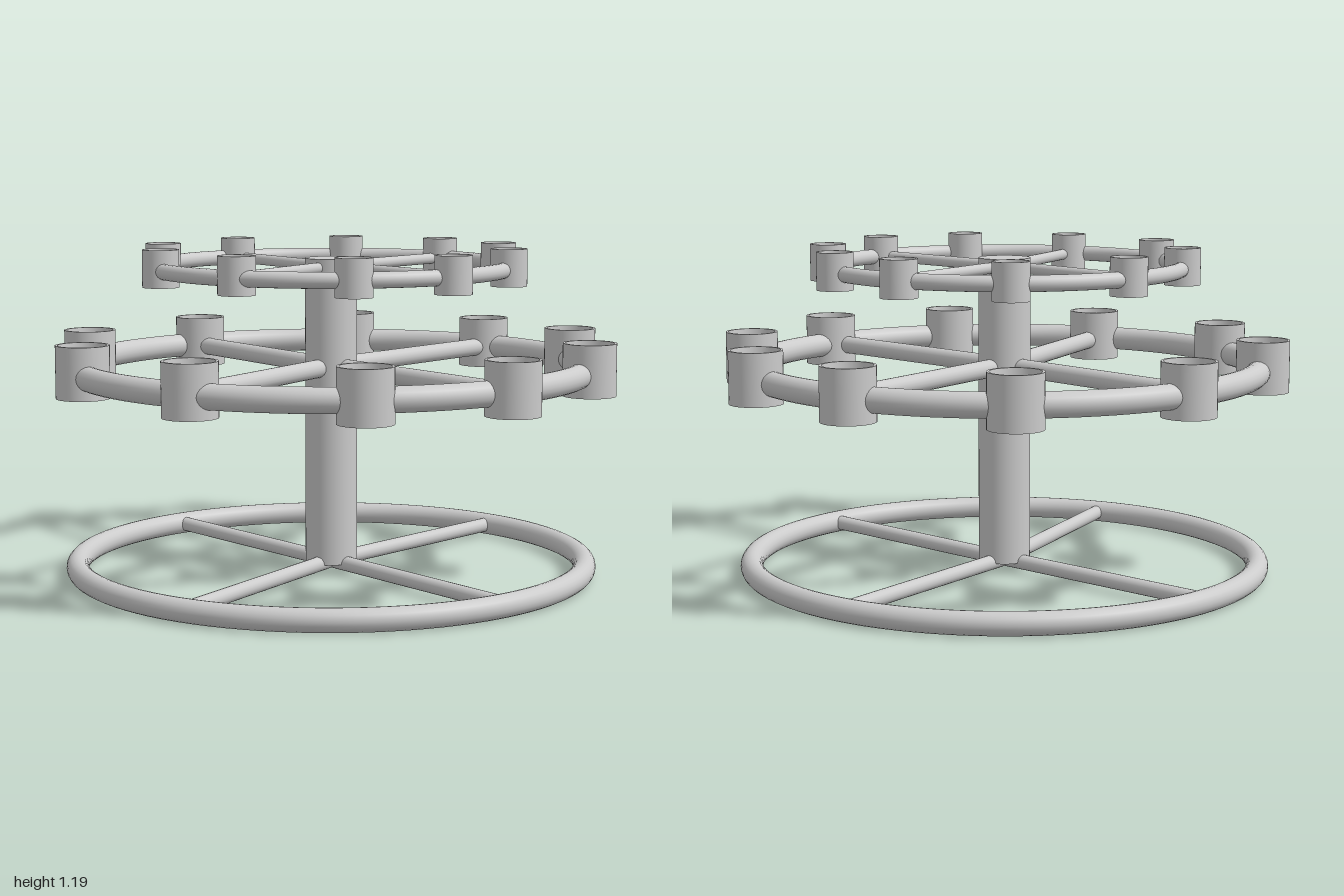
import * as THREE from 'three';

const CX = -0.024, CZ = 0.024; // pole axis
const material = new THREE.MeshStandardMaterial({ color: 0xcccccc });

function add(parent, name, geometry, x, y, z) {
  const mesh = new THREE.Mesh(geometry, material);
  mesh.name = name;
  mesh.position.set(x, y, z);
  parent.add(mesh);
  return mesh;
}

// horizontal ring around the pole
function addRing(parent, name, radius, tube, y) {
  const geometry = new THREE.TorusGeometry(radius, tube, 20, 96).rotateX(Math.PI / 2);
  add(parent, name, geometry, CX, y, CZ);
}

// round bars from the pole outwards; angles in degrees from +x towards +z
function addSpokes(parent, name, angles, length, radius, y) {
  for (const angle of angles) {
    const geometry = new THREE.CylinderGeometry(radius, radius, length, 20)
      .rotateZ(Math.PI / 2).translate(length / 2, 0, 0);
    add(parent, name, geometry, CX, y, CZ).rotation.y = -THREE.MathUtils.degToRad(angle);
  }
}

// candle cup with a shallow recess; doubled points keep the edges sharp
function cupGeometry(r, h, depth) {
  const wall = r * 0.1;
  const corners = [[0, 0], [r, 0], [r, h], [r - wall, h], [r - wall * 1.4, h - depth], [0, h - depth]];
  const points = corners.flatMap(([x, y], i) => {
    const p = new THREE.Vector2(x, y);
    return i === 0 || i === corners.length - 1 ? [p] : [p, p.clone()];
  });
  // separate lathe bands give each surface its own normals
  const group = [];
  for (let i = 0; i < points.length; i += 2) {
    group.push(new THREE.LatheGeometry([points[i], points[i + 1]], 40));
  }
  return group;
}

function addCups(parent, name, spots, r, y, h, depth) {
  const bands = cupGeometry(r, h, depth);
  spots.forEach(([x, z]) => {
    const cup = new THREE.Group();
    cup.name = name;
    cup.position.set(x, y, z);
    bands.forEach((band) => add(cup, name + 'Surface', band, 0, 0, 0));
    parent.add(cup);
  });
}

export function createModel() {
  const model = new THREE.Group();
  model.name = 'tieredCandleStand';

  // central pole
  add(model, 'pole', new THREE.CylinderGeometry(0.094, 0.094, 1.11, 48), CX, 0.595, CZ);

  // base
  const base = new THREE.Group();
  base.name = 'base';
  addRing(base, 'baseRing', 0.923, 0.041, 0.041);
  addSpokes(base, 'baseSpoke', [10, 81.5, 189, 272.5], 0.92, 0.027, 0.041);
  model.add(base);

  // wide lower tier
  const lower = new THREE.Group();
  lower.name = 'lowerTier';
  addRing(lower, 'lowerRing', 0.917, 0.044, 0.757);
  addSpokes(lower, 'lowerSpoke', [10.7, 81, 193.5, 271.5], 0.9, 0.033, 0.757);
  addCups(lower, 'lowerCup', [
    [-0.024, -0.905], [0.47, -0.78], [0.82, -0.385], [0.904, 0.193], [0.65, 0.645],
    [0.123, 0.905], [-0.49, 0.81], [-0.86, 0.43], [-0.904, -0.205], [-0.56, -0.727],
  ], 0.095, 0.68, 0.187, 0.045);
  model.add(lower);

  // narrow upper tier
  const upper = new THREE.Group();
  upper.name = 'upperTier';
  addRing(upper, 'upperRing', 0.638, 0.028, 1.118);
  addSpokes(upper, 'upperSpoke', [10.2, 80.5, 194.5, 270.5], 0.63, 0.02, 1.118);
  addCups(upper, 'upperCup', [
    [-0.024, -0.62], [0.316, -0.53], [0.556, -0.262], [0.615, 0.139], [0.438, 0.449],
    [0.078, 0.631], [-0.345, 0.567], [-0.6, 0.3], [-0.63, -0.134], [-0.39, -0.495],
  ], 0.065, 1.06, 0.133, 0.035);
  model.add(upper);

  return model;
}
